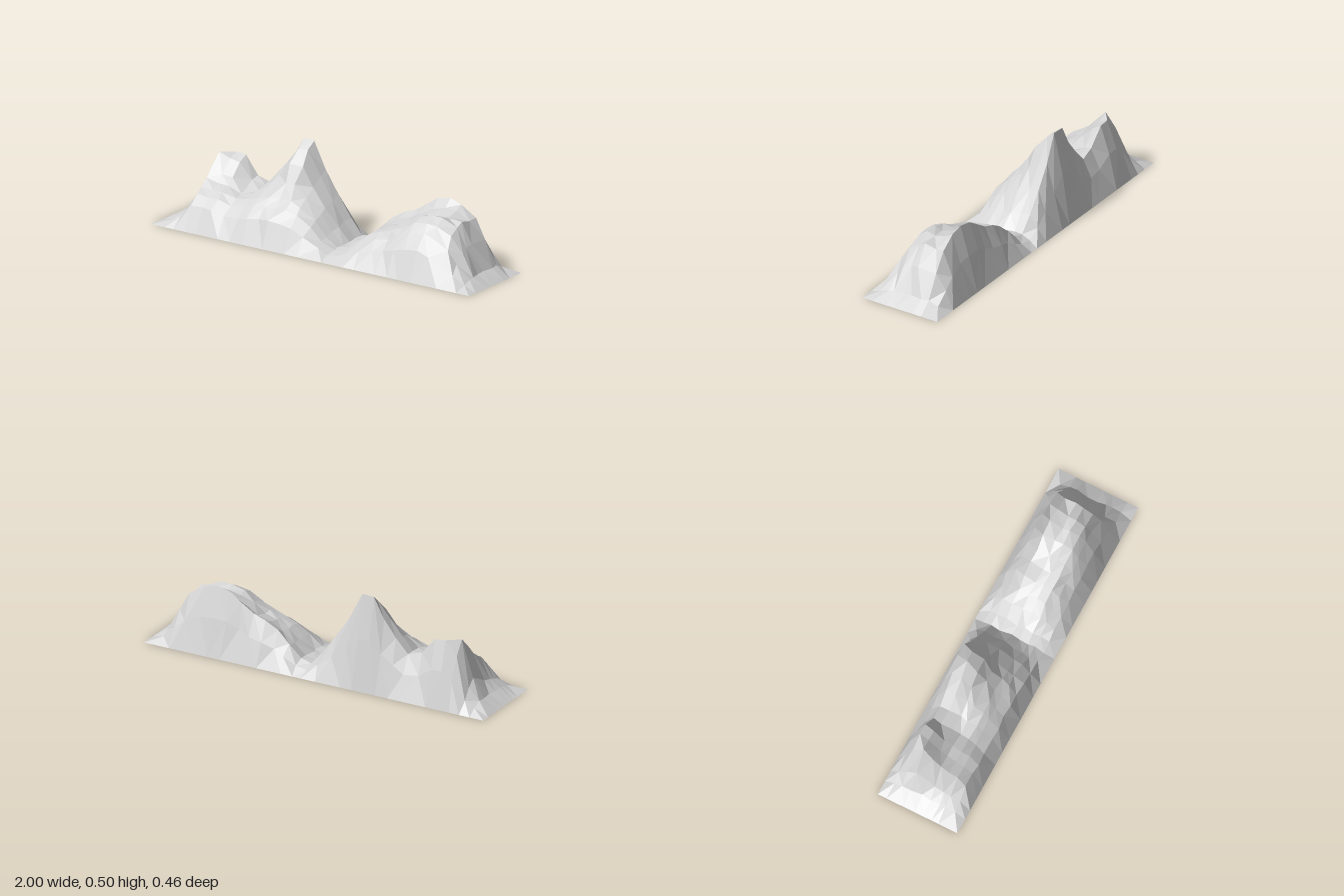
import * as THREE from 'three';

// Crest line of the range: [x, height]
const crest = [
  [-1, 0], [-0.92, 0.055], [-0.86, 0.15], [-0.79, 0.355], [-0.72, 0.35], [-0.66, 0.345],
  [-0.58, 0.25], [-0.5, 0.225], [-0.43, 0.3], [-0.36, 0.39], [-0.3, 0.503], [-0.23, 0.503],
  [-0.16, 0.36], [-0.08, 0.24], [0, 0.13], [0.07, 0.05], [0.13, 0.065], [0.2, 0.13],
  [0.27, 0.19], [0.34, 0.23], [0.41, 0.255], [0.48, 0.3], [0.55, 0.345], [0.63, 0.36],
  [0.7, 0.34], [0.79, 0.285], [0.85, 0.18], [0.92, 0.055], [1, 0],
];

// Cross-sections from front to back, as fractions of the crest height
const rows = [0.23, 0.17, 0.12, 0.08, 0.03, -0.015, -0.08, -0.13, -0.18, -0.23];
const ridgeRow = 7;
const flat = [0, 0.5, 0.75, 0.85, 0.85, 0.9, 0.95, 1, 0.6, 0];
const leftFace = [0, 0.35, 0.49, 0.57, 0.65, 0.8, 1, 0.78, 0.42, 0];
const shoulder = [0, 0.36, 0.49, 0.56, 0.62, 0.74, 0.92, 1, 0.55, 0];
const ledge = [0, 0.5, 0.72, 0.85, 0.94, 0.95, 0.97, 1, 0.58, 0];
const spire = [0, 0.27, 0.38, 0.47, 0.6, 0.79, 0.935, 1, 0.54, 0];
const slope = [0, 0.38, 0.56, 0.66, 0.76, 0.85, 0.95, 1, 0.56, 0];
const dome = [0, 0.43, 0.64, 0.78, 0.84, 0.83, 0.88, 1, 0.56, 0];
const mesa = [0, 0.35, 0.62, 0.85, 0.97, 1, 1, 1, 0.54, 0];
const stations = [
  [-1, flat], [-0.92, flat], [-0.86, leftFace], [-0.79, leftFace], [-0.72, shoulder],
  [-0.66, shoulder], [-0.5, ledge], [-0.3, spire], [-0.23, spire], [-0.12, slope], [0, slope],
  [0.07, flat], [0.28, dome], [0.65, dome], [0.79, mesa], [0.86, mesa], [0.92, flat], [1, flat],
];

function fraction(x, row) {
  let i = 0;
  while (i < stations.length - 2 && x > stations[i + 1][0]) i++;
  const [x0, a] = stations[i];
  const [x1, b] = stations[i + 1];
  return THREE.MathUtils.lerp(a[row], b[row], (x - x0) / (x1 - x0));
}

// Small seeded generator giving values in -1..1
function seeded(seed) {
  return () => {
    seed = (seed * 16807) % 2147483647;
    return (seed / 2147483647) * 2 - 1;
  };
}

function terrainGeometry() {
  const noise = seeded(4127);
  // Grid of rock points, with a straight outer border on the ground
  const grid = crest.map(([x, h], c) => rows.map((z, r) => {
    const y = h * fraction(x, r);
    const endC = c === 0 || c === crest.length - 1;
    const endR = r === 0 || r === rows.length - 1;
    const onRidge = r === ridgeRow;
    const dx = noise() * 0.008, dy = noise() * 0.025, dz = noise() * 0.006;
    return [
      x + (endC || onRidge ? 0 : dx),
      endC || endR ? 0 : y * (onRidge ? 1 : 1 + dy),
      z + (endR || endC ? 0 : dz),
    ];
  }));

  // Two facets per cell, with the diagonal varied
  const pos = [];
  for (let c = 0; c < grid.length - 1; c++) {
    for (let r = 0; r < rows.length - 1; r++) {
      const a = grid[c][r], b = grid[c + 1][r], d = grid[c + 1][r + 1], e = grid[c][r + 1];
      const facets = noise() > 0 ? [a, b, d, a, d, e] : [a, b, e, b, d, e];
      facets.forEach((p) => pos.push(...p));
    }
  }
  const geometry = new THREE.BufferGeometry();
  geometry.setAttribute('position', new THREE.Float32BufferAttribute(pos, 3));
  geometry.computeVertexNormals();
  return geometry;
}

export function createModel() {
  const group = new THREE.Group();
  group.name = 'mountainRange';
  const rock = new THREE.MeshStandardMaterial({
    color: 0xd4d4d4, flatShading: true, side: THREE.DoubleSide,
  });
  rock.name = 'greyRock';
  // Open shell of faceted rock
  const mountains = new THREE.Mesh(terrainGeometry(), rock);
  mountains.name = 'mountains';
  group.add(mountains);
  return group;
}
